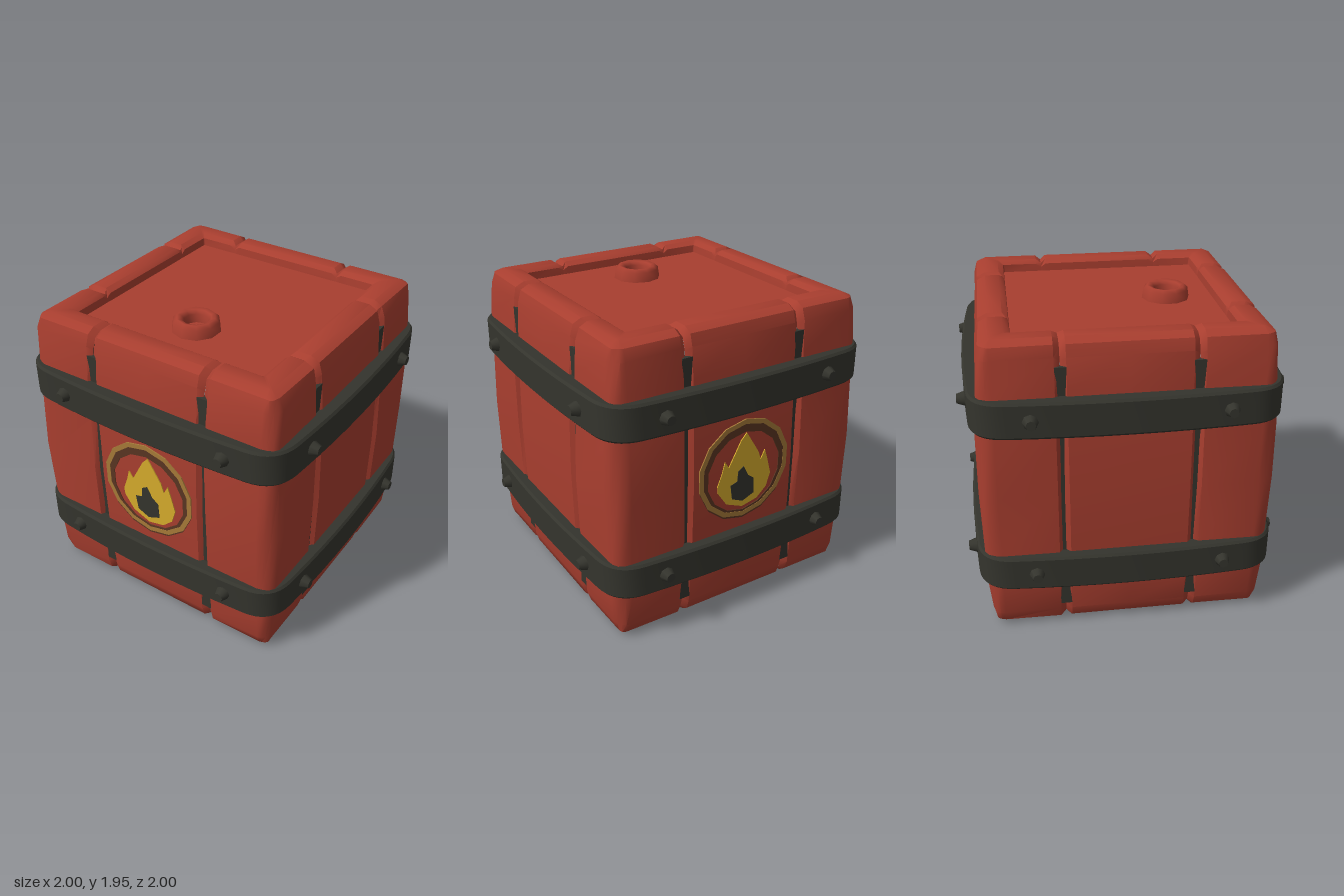
import * as THREE from 'three';
import { toCreasedNormals } from 'three/addons/utils/BufferGeometryUtils.js';

const material = (name, color) => Object.assign(new THREE.MeshStandardMaterial({ color }), { name });

export function createModel() {
  const redWood = material('red wood', 0xa83e2f);
  const darkIron = material('dark iron', 0x34342d);
  const flameYellow = material('flame yellow', 0xd6ac2c);
  const ringGold = material('ring gold', 0xa67a38);
  const ringBrown = material('ring brown', 0x5a3522);
  const model = new THREE.Group();
  model.name = 'squareBarrel';

  const add = (parent, name, geometry, mat, x = 0, y = 0, z = 0) => {
    const mesh = new THREE.Mesh(geometry, mat);
    mesh.name = name;
    mesh.position.set(x, y, z);
    parent.add(mesh);
    return mesh;
  };

  // Plank cross-section (half width, height): top rim, bulging wall, bottom rim
  const profile = [
    [0.66, 1.865], [0.665, 1.925], [0.7, 1.95], [0.79, 1.95], [0.845, 1.922], [0.866, 1.85],
    [0.882, 1.65], [0.897, 1.35], [0.905, 0.975], [0.897, 0.6], [0.882, 0.3],
    [0.866, 0.11], [0.845, 0.04], [0.8, 0.005], [0.775, 0.005], [0.757, 0.06],
  ];
  const SEAM = 0.4, MID = 0.975;
  const gap = (j, seed) => (j > 5 && j < 11 ? 0.011 + 0.005 * Math.sin(j * 5 + seed) : 0);

  // Loft the cross-section through stations; each station maps (r, j) to [x, z]
  function plankGeometry(stations, wobble, seed) {
    const pos = [], index = [], n = profile.length;
    stations.forEach(({ at, inset = 0 }, i) => profile.forEach(([r, y], j) => {
      const wave = j > 3 && j < 13 ? wobble * Math.sin(j * 2.1 + i * 1.7 + seed) : 0;
      const [x, z] = at(r - (j > 1 ? inset : 0) + wave, j);
      pos.push(x, MID + (y - MID) * (1 - inset), z);
      if (i && j) {
        const c = i * n + j, a = c - n - 1;
        index.push(a, a + 1, c - 1, c - 1, a + 1, c);
      }
    }));
    const g = new THREE.BufferGeometry();
    g.setAttribute('position', new THREE.Float32BufferAttribute(pos, 3));
    g.setIndex(index);
    return toCreasedNormals(g, 0.65);
  }

  // Middle plank of one side, with ends dipping into the seams
  const middleStations = (seed) => [
    { inset: 0.024, at: (r, j) => [-SEAM + gap(j, seed), r] },
    { at: (r) => [-SEAM + 0.035, r] },
    { at: (r) => [0, r] },
    { at: (r) => [SEAM - 0.035, r] },
    { inset: 0.024, at: (r, j) => [SEAM - gap(j, seed + 2), r] },
  ];
  // Corner plank, running around the rounded corner
  const cornerStations = (seed) => {
    const arc = [0, 1, 2, 3, 4].map((s) => ({
      at: (r) => {
        const c = Math.max(0.01, r - 0.79), t = (s * Math.PI) / 8;
        return [r - c + c * Math.sin(t), r - c + c * Math.cos(t)];
      },
    }));
    return [
      { inset: 0.024, at: (r, j) => [SEAM + gap(j, seed), r] },
      { at: (r) => [SEAM + 0.035, r] },
      ...arc,
      { at: (r) => [r, SEAM + 0.035] },
      { inset: 0.024, at: (r, j) => [r, SEAM + gap(j, seed + 3)] },
    ];
  };

  // Four sides: planks and dark strips behind the seams
  for (let k = 0; k < 4; k++) {
    const side = new THREE.Group();
    side.name = 'side' + (k + 1);
    side.rotation.y = (k * Math.PI) / 2;
    add(side, 'middlePlank', plankGeometry(middleStations(k), 0, k), redWood);
    add(side, 'cornerPlank', plankGeometry(cornerStations(k + 1), 0.004, k), redWood);
    for (const s of [-1, 1]) {
      add(side, 'seamStrip', new THREE.BoxGeometry(0.07, 1.64, 0.04), darkIron, s * SEAM, MID, 0.852);
    }
    // Rivets on both bands
    for (const y of [0.455, 1.505]) for (const s of [-1, 1]) {
      const rivet = add(side, 'rivet', new THREE.CylinderGeometry(0.03, 0.05, 0.055, 8), darkIron, s * 0.58, y, 0.97);
      rivet.rotation.x = Math.PI / 2;
    }
    model.add(side);
  }

  // Recessed lid and base
  add(model, 'lidPanel', new THREE.BoxGeometry(1.36, 0.05, 1.36), redWood, 0, 1.85, 0);
  add(model, 'basePanel', new THREE.BoxGeometry(1.56, 0.05, 1.56), redWood, 0, 0.075, 0);

  // Filling hole collar on the lid
  const collar = [[0.155, 1.87], [0.145, 1.935], [0.12, 1.957], [0.095, 1.95], [0.078, 1.93], [0.075, 1.87]]
    .map(([x, y]) => new THREE.Vector2(x, y));
  add(model, 'fillingCollar', new THREE.LatheGeometry(collar, 10), redWood, 0, 0, 0.36);

  // Iron bands: slightly bowed square with rounded corners
  const bandOutline = (path, mid, edge, start) => {
    path.moveTo(-start, edge);
    let a = [-start, edge];
    for (let k = 0; k < 4; k++) {
      const turn = ([x, y]) => [[x, y], [y, -x], [-x, -y], [-y, x]][k];
      a = turn([start, edge]);
      path.quadraticCurveTo(...turn([0, 2 * mid - edge]), ...a);
      path.quadraticCurveTo(...turn([edge - 0.015, edge - 0.015]), ...turn([edge, start]));
    }
    return path;
  };
  const bandShape = bandOutline(new THREE.Shape(), 0.955, 0.925, 0.72);
  bandShape.holes.push(bandOutline(new THREE.Path(), 0.85, 0.84, 0.68));
  const bandGeometry = toCreasedNormals(new THREE.ExtrudeGeometry(bandShape, {
    depth: 0.2, bevelEnabled: true, bevelSize: 0.013, bevelThickness: 0.015, bevelSegments: 1, curveSegments: 8,
  }).rotateX(-Math.PI / 2), 0.6);
  add(model, 'lowerBand', bandGeometry, darkIron, 0, 0.355, 0);
  add(model, 'upperBand', bandGeometry, darkIron, 0, 1.405, 0);

  // Fire emblem plates on front and back
  const plate = (shape, depth) => new THREE.ExtrudeGeometry(shape, { depth, bevelEnabled: false });
  const outline = (pts) => new THREE.Shape(pts.map(([x, y]) => new THREE.Vector2(x, y)));
  const circle = (r, sides) => Array.from({ length: sides }, (_, i) => {
    const t = ((i + 0.5) / sides) * Math.PI * 2;
    return [r * Math.cos(t), r * Math.sin(t)];
  });
  const ring = (outer, inner, depth) => {
    const shape = outline(circle(outer, 14));
    shape.holes.push(outline(circle(inner, 14)));
    return plate(shape, depth);
  };
  const flame = outline([
    [0.01, 1.235], [0.05, 1.17], [0.105, 1.08], [0.125, 1.02], [0.155, 1.08], [0.177, 1.01],
    [0.205, 0.905], [0.177, 0.815], [0.107, 0.75], [-0.005, 0.725], [-0.125, 0.775], [-0.19, 0.87],
    [-0.195, 0.92], [-0.165, 1.0], [-0.145, 1.075], [-0.115, 1.03], [-0.085, 1.085], [-0.03, 1.19],
  ]);
  const flameHeart = outline([
    [-0.005, 1.01], [0.03, 0.94], [0.075, 0.905], [0.08, 0.8], [-0.005, 0.765],
    [-0.085, 0.8], [-0.1, 0.9], [-0.05, 0.915], [-0.045, 0.985],
  ]);
  for (const [name, angle] of [['frontEmblem', 0], ['backEmblem', Math.PI]]) {
    const emblem = new THREE.Group();
    emblem.name = name;
    emblem.rotation.y = angle;
    const z = 0.903;
    add(emblem, 'brownRing', ring(0.33, 0.272, 0.006), ringBrown, 0, 0.972, z);
    add(emblem, 'goldRing', ring(0.337, 0.305, 0.008), ringGold, 0, 0.992, z);
    add(emblem, 'flame', plate(flame, 0.007), flameYellow, 0, 0, z);
    add(emblem, 'flameHeart', plate(flameHeart, 0.0095), darkIron, 0, 0, z);
    model.add(emblem);
  }
  return model;
}
